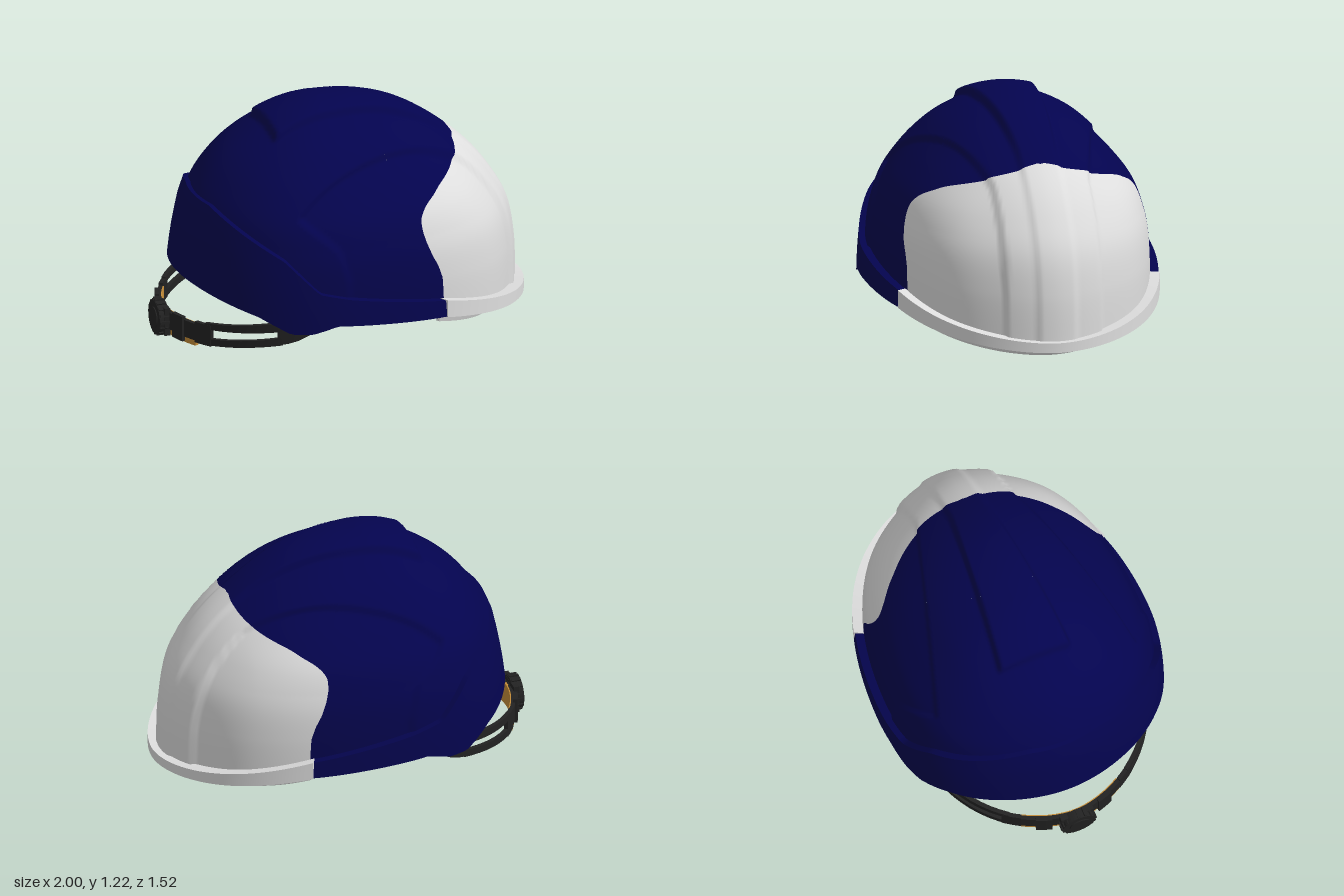
import * as THREE from 'three';
import { toCreasedNormals } from 'three/addons/utils/BufferGeometryUtils.js';

const XC = -0.1, PI = Math.PI, DEG = PI / 180;
const mat = (name, color) => {
  const m = new THREE.MeshStandardMaterial({ color, side: THREE.DoubleSide });
  m.name = name;
  return m;
};
const lerp = THREE.MathUtils.lerp, smooth = THREE.MathUtils.smoothstep;

// piecewise linear lookup in a list of [key, value]
function table(rows, k) {
  if (k <= rows[0][0]) return rows[0][1];
  for (let i = 1; i < rows.length; i++) {
    const [a, p] = rows[i - 1], [b, q] = rows[i];
    if (k <= b) return p + (q - p) * (k - a) / (b - a);
  }
  return rows[rows.length - 1][1];
}

// dome sections from rim to crown: height, back x, front x, half width
const SECTIONS = [
  [0.12, -0.85, 0.95, 0.715], [0.35, -0.84, 0.942, 0.715], [0.55, -0.815, 0.902, 0.697],
  [0.72, -0.78, 0.808, 0.647], [0.86, -0.70, 0.695, 0.555], [0.97, -0.60, 0.562, 0.455],
  [1.06, -0.47, 0.41, 0.35], [1.13, -0.33, 0.24, 0.22], [1.168, -0.2, 0.07, 0.1], [1.18, XC, XC, 0],
];
const splines = [1, 2, 3].map(k => new THREE.SplineCurve(SECTIONS.map(r => new THREE.Vector2(r[k], r[0]))));
const sectionAt = v => {
  const [b, f, w] = splines.map(s => s.getPoint(v));
  return { y: b.y, back: b.x, front: f.x, w: w.x };
};
function levelAt(y) {
  let lo = 0, hi = 1;
  for (let i = 0; i < 16; i++) {
    const m = (lo + hi) / 2;
    if (splines[0].getPoint(m).y < y) lo = m; else hi = m;
  }
  return lo;
}
// oval round the head with flattened sides; angle 0 is the front
const oval = (t, front, back, w, y) => {
  const c = Math.cos(t), s = Math.sin(t), power = lerp(0.75, 1.05, c * c);
  return new THREE.Vector3(XC + (c > 0 ? front - XC : XC - back) * c, y, w * Math.sign(s) * Math.abs(s) ** power);
};
// point on the dome at a height, moved outward
const around = (t, y, off) => {
  const s = sectionAt(levelAt(y));
  return oval(t, s.front + off, s.back - off, s.w + off, y);
};

const RIM = [[-0.86, 0.36], [-0.6, 0.28], [-0.46, 0.2], [-0.36, 0.2], [-0.24, 0.24], [0, 0.22], [0.36, 0.19], [0.95, 0.1]];
const BAND_TOP = [[-0.81, 0.76], [-0.5, 0.58], [-0.42, 0.5], [-0.33, 0.41], [-0.17, 0.37], [0.36, 0.27]];
const PANEL_BACK = [[0.45, -0.17], [0.62, -0.22], [0.78, -0.4]];
const PANEL_TOP = [[-0.4, 0.56], [0.6, 0.26]];
const RIDGE_WIDTH = [[-0.38, 0.19], [0.5, 0.1]];
// white front: side edge angle by height, and top edge as [angle, height]
const SIDE_EDGE = [[0.12, 63.6], [0.35, 64], [0.43, 65.2], [0.5, 66.8], [0.58, 67.8], [0.64, 68]];
const TOP_EDGE = [[6, 0.947], [27, 0.903], [48.5, 0.843], [57.4, 0.8], [63.4, 0.76], [67, 0.71], [68, 0.65]];
const topEdge = new THREE.SplineCurve([
  ...TOP_EDGE.map(([a, y]) => new THREE.Vector2(-a, y)).reverse(), new THREE.Vector2(0, 0.95),
  ...TOP_EDGE.map(([a, y]) => new THREE.Vector2(a, y))]);
const sideAngle = v => table(SIDE_EDGE, sectionAt(v).y) * DEG;

function domeBase(t, v) {
  const s = sectionAt(v), p = oval(t, s.front, s.back, s.w, s.y);
  p.y += (table(RIM, p.x) - 0.12) * Math.max(0, 1 - (s.y - 0.12) / 0.5);
  return p;
}
// dome with raised centre ridge and sunken side panels
function dome(t, v) {
  const p = domeBase(t, v), e = 0.004, vm = Math.min(v, 0.985);
  const du = domeBase(t + e, vm).sub(domeBase(t - e, vm));
  const dv = domeBase(t, vm + e).sub(domeBase(t, Math.max(0, vm - e)));
  const n = v > 0.99 ? new THREE.Vector3(0, 1, 0) : dv.cross(du).normalize();
  const z = Math.abs(p.z), hw = table(RIDGE_WIDTH, p.x), top = table(PANEL_TOP, p.x);
  const back = table(PANEL_BACK, p.y);
  const height = lerp(0.037, 0.011, smooth(p.x, 0.25, 0.7));
  const ridge = height * (1 - smooth(z, hw - 0.018, hw + 0.018)) * smooth(p.x, -0.41, -0.37);
  const depth = lerp(0.02, 0.009, smooth(z, top + 0.03, top + 0.27));
  const panel = depth * smooth(z, top - 0.01, top + 0.012) * smooth(p.x, back - 0.01, back + 0.012);
  return p.addScaledVector(n, ridge - panel);
}

function grid(nu, nv, f) {
  const pos = [], idx = [];
  for (let i = 0; i <= nu; i++) for (let j = 0; j <= nv; j++) {
    pos.push(...f(i / nu, j / nv).toArray());
    if (i < nu && j < nv) {
      const a = i * (nv + 1) + j, b = a + nv + 1;
      idx.push(a, a + 1, b, b, a + 1, b + 1);
    }
  }
  const g = new THREE.BufferGeometry();
  g.setAttribute('position', new THREE.Float32BufferAttribute(pos, 3));
  g.setIndex(idx);
  g.computeVertexNormals();
  return g;
}

// closed solid strip swept around the head: surface(angle, 0..1 up, 0 outer | 1 inner)
function strip(t0, t1, nu, levels, surface) {
  const ring = t => {
    const r = [];
    for (let j = 0; j <= levels; j++) r.push(surface(t, j / levels, 0));
    for (let j = levels; j >= 0; j--) r.push(surface(t, j / levels, 1));
    r.push(r[0].clone());
    return r;
  };
  const rings = [];
  for (let i = 0; i <= nu; i++) rings.push(ring(lerp(t0, t1, i / nu)));
  const cap = r => {
    const c = new THREE.Vector3();
    r.slice(0, -1).forEach(p => c.add(p));
    c.divideScalar(r.length - 1);
    return r.map(() => c);
  };
  rings.unshift(cap(rings[0]));
  rings.push(cap(rings[rings.length - 1]));
  const U = rings.length - 1, V = rings[0].length - 1;
  return toCreasedNormals(grid(U, V, (u, v) => rings[Math.round(u * U)][Math.round(v * V)]), 0.6);
}

export function createModel() {
  const root = new THREE.Group();
  root.name = 'safetyHelmet';
  const blue = mat('navy blue', 0x04044e), white = mat('light grey', 0xdedede);
  const dark = mat('charcoal', 0x222222), grey = mat('pad grey', 0x424242), amber = mat('amber', 0xc48c38);
  const add = (name, geo, m) => {
    const mesh = new THREE.Mesh(geo, m);
    mesh.name = name;
    root.add(mesh);
    return mesh;
  };

  // shell in three patches that meet along the colour edge
  add('shellRear', grid(150, 90, (u, v) => {
    const e = sideAngle(v);
    return dome(lerp(e, 2 * PI - e, u), v);
  }), blue);
  add('shellCrown', grid(196, 60, (u, v) => {
    const p = topEdge.getPoint(u);
    return dome(p.x * DEG, lerp(levelAt(p.y), 1, v));
  }), blue);
  add('frontPanel', grid(196, 50, (u, v) => {
    const p = topEdge.getPoint(u), level = levelAt(p.y) * v;
    return dome(p.x / 68 * sideAngle(level), level);
  }), white);

  // raised band round sides and back
  const edge = 65 * DEG;
  add('rimBand', strip(edge, 2 * PI - edge, 130, 5, (t, s, inner) => {
    const x = around(t, 0.35, 0).x, side = Math.abs(Math.sin(t));
    const y = lerp(table(RIM, x) - 0.005, table(BAND_TOP, x), s);
    return around(t, y, inner ? -0.025 : lerp(lerp(0.036, 0.043, side), lerp(0.02, 0.036, side), s));
  }), blue);

  // brim and the lip below it
  add('brim', strip(-edge, edge, 70, 1, (t, s, inner) => {
    const p = inner ? around(t, 0.2, -0.03) : oval(t, 1, -0.9, 0.757, 0);
    const f = (oval(t, 1, -0.9, 0.757, 0).x - 0.35) / 0.65;
    p.y = s ? lerp(0.28, 0.108, f) : lerp(0.185, 0.057, f);
    return p;
  }), white);
  add('lowerLip', strip(-61 * DEG, 61 * DEG, 60, 2, (t, s, inner) => {
    const g = inner * 0.02, c = (Math.cos(t) - 0.48) / 0.52;
    const y = lerp(lerp(0.13, 0, c), lerp(0.25, 0.14, c), s);
    return oval(t, lerp(0.82, 0.9, s) - g, -0.8, lerp(0.685, 0.705, s) - g, y);
  }), white);

  // headband with slotted rear arms
  const head = (name, a, b, yLow, yHigh, m = dark, g = 0) =>
    add(name, strip(a * DEG, b * DEG, Math.max(4, Math.ceil(Math.abs(b - a) / 4)), 1, (t, s, inner) => {
      const k = g + inner * 0.022, x = XC + 0.84 * Math.cos(t);
      return oval(t, 0.76 - k, -0.95 + k, 0.65 - k, s ? yHigh(x) : yLow(x));
    }), m);
  const LOW = [[-0.5, 0.1], [-0.4, 0.13], [-0.25, 0.22], [0, 0.2], [0.36, 0.15], [0.7, 0.12]];
  const HIGH = [[-0.62, 0.22], [-0.55, 0.28], [-0.2, 0.32], [0.36, 0.29], [0.7, 0.25]];
  const line = (x0, y0, x1, y1) => x => y0 + (y1 - y0) * (x - x0) / (x1 - x0);
  head('headband', -120, 120, x => table(LOW, x), x => table(HIGH, x));
  for (const side of [1, -1]) {
    const arc = (name, a, b, lo, hi, m, g) =>
      side > 0 ? head(name, a, b, lo, hi, m, g) : head(name, 360 - b, 360 - a, lo, hi, m, g);
    arc('upperArm', 118, 150, line(-0.5, 0.175, -0.88, 0.135), line(-0.5, 0.225, -0.88, 0.165));
    arc('lowerArm', 118, 150, line(-0.5, 0.1, -0.88, 0.045), line(-0.5, 0.14, -0.88, 0.08));
    arc('armEnd', 147, 155, () => 0.05, () => 0.165);
    arc('rearLink', 155, 178, () => 0.06, () => 0.152);
    arc('linkBlock', 161, 168, () => 0.035, () => 0.17, dark, -0.012);

    // inner band along the back of the shell
    const lining = (name, a, b, m) => add(name, strip(side * a * DEG, side * b * DEG, 16, 2, (t, s, inner) => {
      const y = table(RIM, around(t, 0.35, 0).x) + lerp(0.01, 0.2, s);
      return around(t, y, -0.045 - inner * 0.015);
    }), m);
    lining('liningSide', 104, 134, dark);
    lining('liningBack', 134, 180, grey);

    // suspension straps with a long slot
    for (const [mid, half, top, name] of [[113, 9, 0.82, 'rearStrap'], [42, 6, 0.66, 'frontStrap']]) {
      const piece = (part, a, b, y0, y1) => add(part, strip(side * (mid + a) * DEG, side * (mid + b) * DEG, 3, 6,
        (t, s, inner) => around(t, lerp(y0, y1, s), -0.065 - inner * 0.015)), dark);
      piece(name + 'Base', -half, half, 0.22, 0.42);
      piece(name + 'Rail', -half, -half / 3, 0.42, top - 0.1);
      piece(name + 'Rail', half / 3, half, 0.42, top - 0.1);
      piece(name + 'Top', -half, half, top - 0.1, top);
    }
    const stud = add('strapStud', new THREE.CylinderGeometry(0.028, 0.028, 0.03, 20), grey);
    stud.rotation.set(PI / 2, 0, side * 0.25);
    stud.position.set(-0.4, 0.26, side * 0.59);
  }
  head('napePad', 155, 205, () => 0.028, () => 0.15, amber, 0.006);

  // adjustment dial
  const dialBase = add('dialBase', new THREE.BoxGeometry(0.03, 0.15, 0.18), dark);
  dialBase.position.set(-0.952, 0.1, 0);
  const dial = new THREE.Group();
  dial.name = 'dial';
  const knob = new THREE.Mesh(new THREE.CylinderGeometry(0.09, 0.09, 0.055, 32), dark);
  knob.name = 'knob';
  const hub = new THREE.Mesh(new THREE.CylinderGeometry(0.055, 0.06, 0.066, 24), dark);
  hub.name = 'hub';
  dial.add(knob, hub);
  for (let i = 0; i < 16; i++) {
    const rib = new THREE.Mesh(new THREE.BoxGeometry(0.014, 0.05, 0.014), dark);
    rib.name = 'gripRib';
    rib.position.set(0.09 * Math.cos(i * PI / 8), 0, 0.09 * Math.sin(i * PI / 8));
    rib.rotation.y = -i * PI / 8;
    dial.add(rib);
  }
  dial.rotation.z = PI / 2;
  dial.position.set(-0.966, 0.1, 0);
  root.add(dial);
  return root;
}
